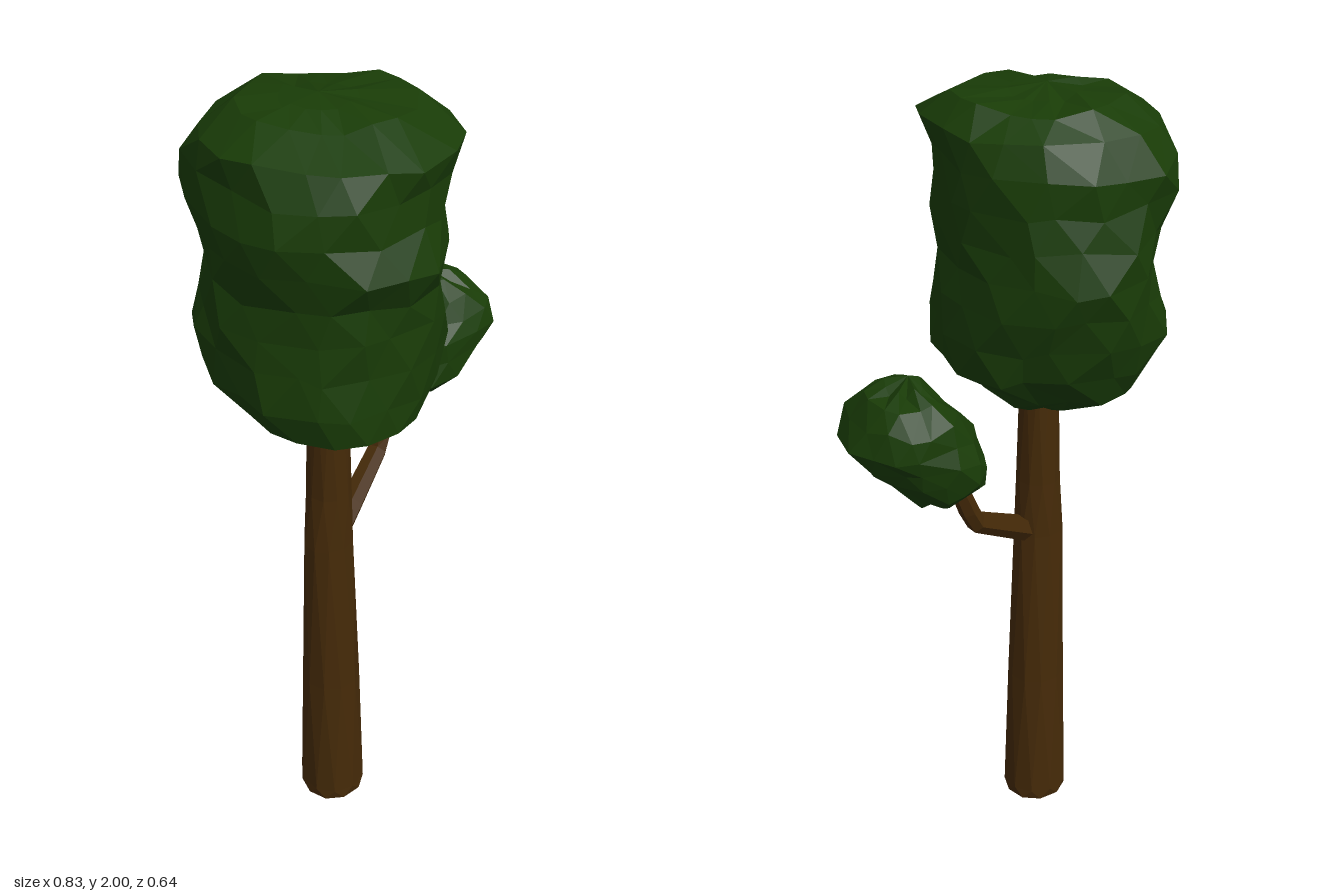
import * as THREE from 'three';

const bark = new THREE.MeshStandardMaterial({ color: 0x452a08, flatShading: true });
const leaf = new THREE.MeshStandardMaterial({ color: 0x193c07, flatShading: true });

// Small seeded generator returning -1..1
function seeded(seed) {
  let s = seed;
  return () => {
    s = (s * 16807) % 2147483647;
    return (s / 2147483647) * 2 - 1;
  };
}

// Closed skin over oval rings; each row is [y, xMin, xMax, zMin, zMax, swell], where
// swell holds the bulge of the four corners in turn: +x+z, -x+z, -x-z, +x-z
function loft(rows, sides, { rough = 0, lift = 0, bottom, top, seed = 7 }) {
  const rand = seeded(seed), pos = [], index = [];
  rows.forEach(([y, x0, x1, z0, z1, swell = [0, 0, 0, 0]], j) => {
    for (let i = 0; i < sides; i++) {
      const a = ((i + (j % 2) * 0.5 + (rough ? rand() * 0.25 : 0)) / sides) * Math.PI * 2;
      const c = Math.cos(a), s = Math.sin(a);
      const corner = s > 0 ? (c > 0 ? 0 : 1) : (c < 0 ? 2 : 3);
      const k = 1 + rough * (rand() + 0.1) + swell[corner] * Math.abs(Math.sin(2 * a));
      // Slightly squared oval
      const px = Math.sign(c) * Math.abs(c) ** 0.95, pz = Math.sign(s) * Math.abs(s) ** 0.95;
      pos.push((x0 + x1) / 2 + (px * k * (x1 - x0)) / 2, y + lift * rand(),
        (z0 + z1) / 2 + (pz * k * (z1 - z0)) / 2);
    }
  });
  // Rings are staggered by half a side, so the diagonals alternate
  for (let j = 0; j < rows.length - 1; j++) {
    for (let i = 0; i < sides; i++) {
      const n = (i + 1) % sides;
      const a = j * sides + i, b = j * sides + n, c = a + sides, d = b + sides;
      if (j % 2) index.push(a, c, d, a, d, b);
      else index.push(a, c, b, b, c, d);
    }
  }
  // End caps fan out from a centre point
  const last = (rows.length - 1) * sides, tip = rows.length * sides;
  pos.push(...bottom, ...top);
  for (let i = 0; i < sides; i++) {
    const n = (i + 1) % sides;
    index.push(tip, i, n, tip + 1, last + n, last + i);
  }
  const geo = new THREE.BufferGeometry();
  geo.setAttribute('position', new THREE.Float32BufferAttribute(pos, 3));
  geo.setIndex(index);
  geo.computeVertexNormals();
  return geo;
}

// Tapered tube with crisp bends at the given points
function taperedTube(points, r0, r1) {
  const curve = new THREE.CatmullRomCurve3(points.map((p) => new THREE.Vector3(...p)), false, 'catmullrom', 0.03);
  const steps = 10, sides = 6;
  const geo = new THREE.TubeGeometry(curve, steps, 1, sides, false);
  const p = geo.attributes.position, v = new THREE.Vector3();
  for (let i = 0; i < p.count; i++) {
    const t = Math.floor(i / (sides + 1)) / steps;
    const c = curve.getPointAt(t);
    v.fromBufferAttribute(p, i).sub(c).multiplyScalar(r0 + (r1 - r0) * t).add(c);
    p.setXYZ(i, v.x, v.y, v.z);
  }
  geo.computeVertexNormals();
  return geo;
}

export function createModel() {
  const tree = new THREE.Group();
  tree.name = 'tree';
  const add = (name, geo, mat) => {
    const mesh = new THREE.Mesh(geo, mat);
    mesh.name = name;
    tree.add(mesh);
  };

  // Trunk, tapering up into the crown
  add('trunk', loft([
    [0, -0.238, -0.072, -0.076, 0.088],
    [0.03, -0.24, -0.07, -0.08, 0.09],
    [0.4, -0.228, -0.08, -0.064, 0.078],
    [0.85, -0.22, -0.091, -0.047, 0.067],
    [1.0, -0.207, -0.098, -0.043, 0.065],
    [1.3, -0.2, -0.105, -0.035, 0.063],
  ], 10, { bottom: [-0.155, 0, 0.005], top: [-0.155, 1.3, 0.01] }), bark);

  // Bent side branch
  add('branch', taperedTube([
    [-0.14, 0.845, 0.01], [-0.09, 0.875, -0.005], [0.075, 0.975, -0.065], [0.14, 1.13, -0.08], [0.18, 1.2, -0.085],
  ], 0.034, 0.019), bark);

  // Tall main crown: flared near the top, waisted at one back corner
  add('mainCrown', loft([
    [1.23, -0.23, -0.08, -0.07, 0.1],
    [1.26, -0.31, -0.03, -0.14, 0.21],
    [1.305, -0.375, 0.0, -0.21, 0.275],
    [1.37, -0.405, 0.1, -0.25, 0.275, [0, 0, 0.06, -0.03]],
    [1.46, -0.405, 0.1, -0.28, 0.27, [0.03, 0, 0.08, -0.03]],
    [1.54, -0.41, 0.1, -0.31, 0.275, [0.02, -0.02, -0.06, -0.03]],
    [1.62, -0.41, 0.1, -0.32, 0.285, [-0.03, -0.05, -0.14, -0.03]],
    [1.7, -0.415, 0.105, -0.305, 0.32, [-0.06, -0.04, -0.08, -0.03]],
    [1.78, -0.42, 0.1, -0.285, 0.285, [-0.02, 0.02, 0.06, 0]],
    [1.86, -0.395, 0.09, -0.275, 0.275, [0.04, 0.04, 0.12, 0.03]],
    [1.925, -0.4, 0.1, -0.24, 0.29, [0.09, -0.14, 0.04, 0]],
    [1.975, -0.31, 0.05, -0.18, 0.18, [0.05, -0.16, 0, -0.1]],
    [1.99, -0.23, -0.06, -0.09, 0.08],
  ], 17, { rough: 0.035, lift: 0.013, bottom: [-0.16, 1.215, 0.03], top: [-0.15, 2, 0], seed: 41 }), leaf);

  // Small leaning crown on the branch
  add('sideCrown', loft([
    [1.115, 0.17, 0.26, -0.17, -0.04],
    [1.145, 0.09, 0.29, -0.21, 0.02, [0, 0.06, 0, -0.06]],
    [1.19, 0.07, 0.34, -0.23, 0.05, [0, 0.08, 0, -0.1]],
    [1.235, 0.085, 0.375, -0.235, 0.06, [0.04, 0.08, 0, -0.12]],
    [1.28, 0.11, 0.42, -0.235, 0.06, [0.06, 0.06, 0, -0.14]],
    [1.33, 0.155, 0.385, -0.22, 0.05, [0.04, 0.05, 0, -0.1]],
    [1.375, 0.195, 0.345, -0.185, 0.02],
    [1.4, 0.225, 0.305, -0.13, -0.03],
  ], 13, { rough: 0.06, lift: 0.012, bottom: [0.22, 1.105, -0.1], top: [0.25, 1.42, -0.08], seed: 97 }), leaf);

  return tree;
}
